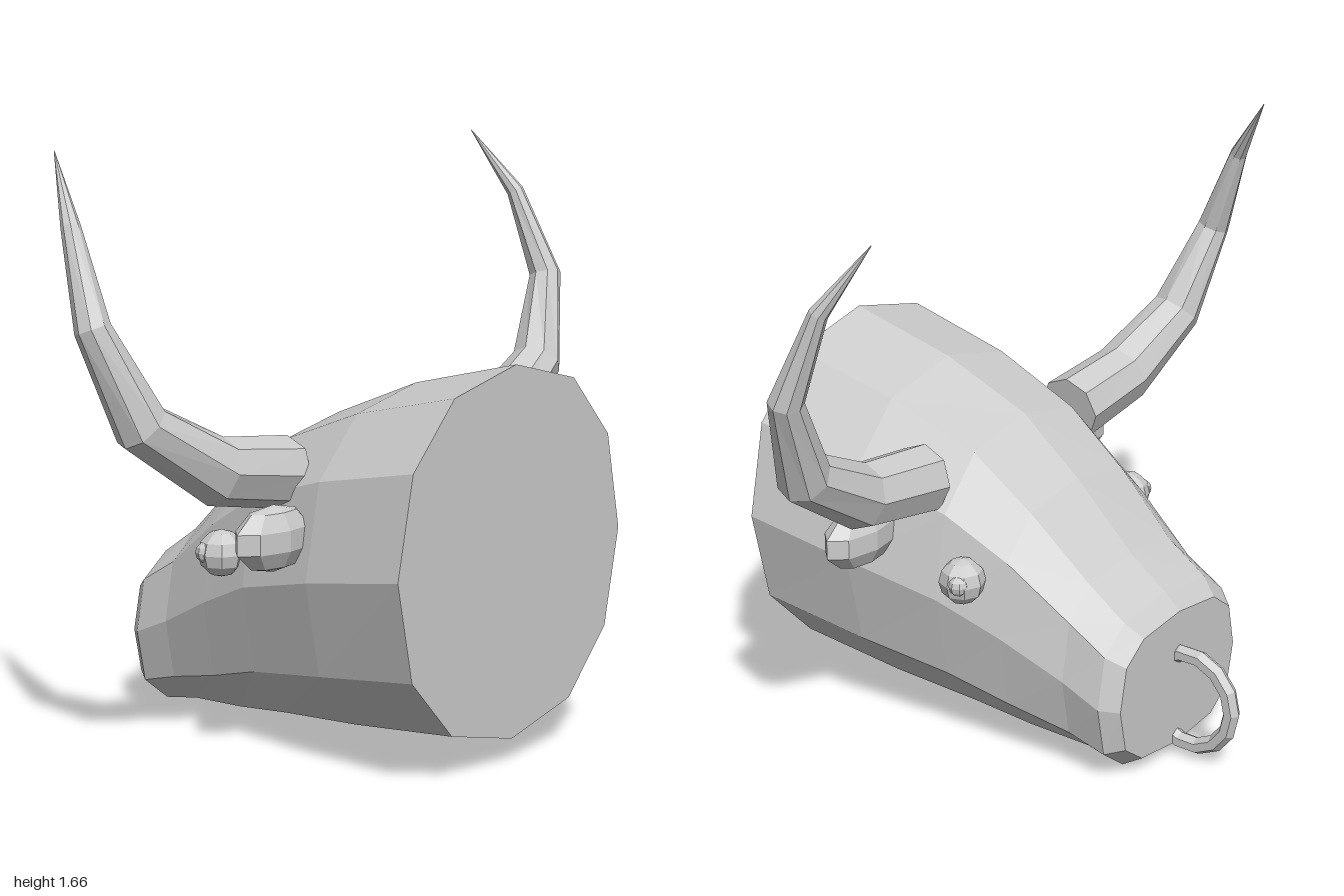
import * as THREE from 'three';

const hide = new THREE.MeshStandardMaterial({ color: 0xcccccc, flatShading: true });
hide.name = 'light grey';

// Skin a list of rings (arrays of Vector3) into a closed, capped solid
function loft(rings) {
  const n = rings[0].length, pos = [], idx = [];
  rings.forEach(r => r.forEach(p => pos.push(p.x, p.y, p.z)));
  for (let i = 0; i < rings.length - 1; i++) {
    for (let j = 0; j < n; j++) {
      const a = i * n + j, b = i * n + (j + 1) % n;
      idx.push(a, b, a + n, b, b + n, a + n);
    }
  }
  const last = (rings.length - 1) * n;
  for (let j = 1; j < n - 1; j++) {
    idx.push(0, j + 1, j);
    idx.push(last, last + j, last + j + 1);
  }
  const g = new THREE.BufferGeometry();
  g.setAttribute('position', new THREE.Float32BufferAttribute(pos, 3));
  g.setIndex(idx);
  const flat = g.toNonIndexed();
  flat.computeVertexNormals();
  return flat;
}

// Twelve-sided superellipse section of the head
function headRing([z, top, bottom, halfWidth, power]) {
  const soft = v => Math.sign(v) * Math.pow(Math.abs(v), power);
  return Array.from({ length: 12 }, (_, j) => {
    const a = j * Math.PI / 6;
    const s = Math.abs(Math.sin(a)) < 1e-6 ? 0 : Math.sin(a);
    const c = Math.abs(Math.cos(a)) < 1e-6 ? 0 : Math.cos(a);
    return new THREE.Vector3(soft(s) * halfWidth, (top + bottom) / 2 + soft(c) * (top - bottom) / 2, z);
  });
}

// Tapered eight-sided horn swept through [x, y, z, radius] stations
function hornGeometry(side) {
  const stations = [
    [0.335, 0.785, 0.165, 0.1], [0.6, 0.822, 0.165, 0.093], [0.84, 0.965, 0.135, 0.075],
    [0.952, 1.22, 0.08, 0.048], [0.928, 1.47, -0.02, 0.026], [0.865, 1.655, -0.145, 0.001],
  ];
  const pts = stations.map(([x, y, z]) => new THREE.Vector3(side * x, y, z));
  const rings = pts.map((p, i) => {
    const t = new THREE.Vector3();
    if (i > 0) t.add(p.clone().sub(pts[i - 1]).normalize());
    if (i < pts.length - 1) t.add(pts[i + 1].clone().sub(p).normalize());
    t.normalize();
    const e2 = new THREE.Vector3(0, 0, 1).addScaledVector(t, -t.z).normalize();
    const e1 = t.clone().cross(e2);
    return Array.from({ length: 8 }, (_, j) => {
      const a = j * Math.PI / 4, r = stations[i][3];
      return p.clone().addScaledVector(e1, Math.sin(a) * r).addScaledVector(e2, Math.cos(a) * r);
    });
  });
  return loft(rings);
}

export function createModel() {
  const group = new THREE.Group();
  const add = (name, geometry, x = 0, y = 0, z = 0) => {
    const mesh = new THREE.Mesh(geometry, hide);
    mesh.name = name;
    mesh.position.set(x, y, z);
    group.add(mesh);
    return mesh;
  };

  // Head: [z, top, bottom, half width, squareness], from neck to muzzle
  add('head', loft([
    [0.69, 1.09, 0.07, 0.485, 0.9],
    [0.35, 1.01, 0.04, 0.455, 0.88],
    [0.07, 0.9, 0.025, 0.4, 0.84],
    [-0.12, 0.75, 0.017, 0.355, 0.76],
    [-0.31, 0.57, 0.015, 0.315, 0.72],
    [-0.43, 0.485, 0, 0.312, 0.7],
    [-0.48, 0.44, 0.03, 0.275, 0.7],
  ].map(headRing)));

  for (const side of [1, -1]) {
    const label = side > 0 ? 'left' : 'right';
    add(label + 'Horn', hornGeometry(side));

    // Ear: stubby faceted ellipsoid
    const ear = new THREE.SphereGeometry(1, 8, 5);
    ear.scale(0.145, 0.09, 0.066);
    add(label + 'Ear', ear, side * 0.487, 0.64, 0.265);

    // Eye with a small raised pupil
    add(label + 'Eye', new THREE.SphereGeometry(0.066, 8, 6), side * 0.388, 0.545, -0.018);
    add(label + 'Pupil', new THREE.SphereGeometry(0.03, 8, 6), side * 0.428, 0.55, -0.038);
  }

  // Nose ring, passing into the muzzle
  const ring = add('noseRing', new THREE.TorusGeometry(0.14, 0.025, 6, 14), 0, 0.177, -0.522);
  ring.rotation.y = Math.PI / 2;

  return group;
}
